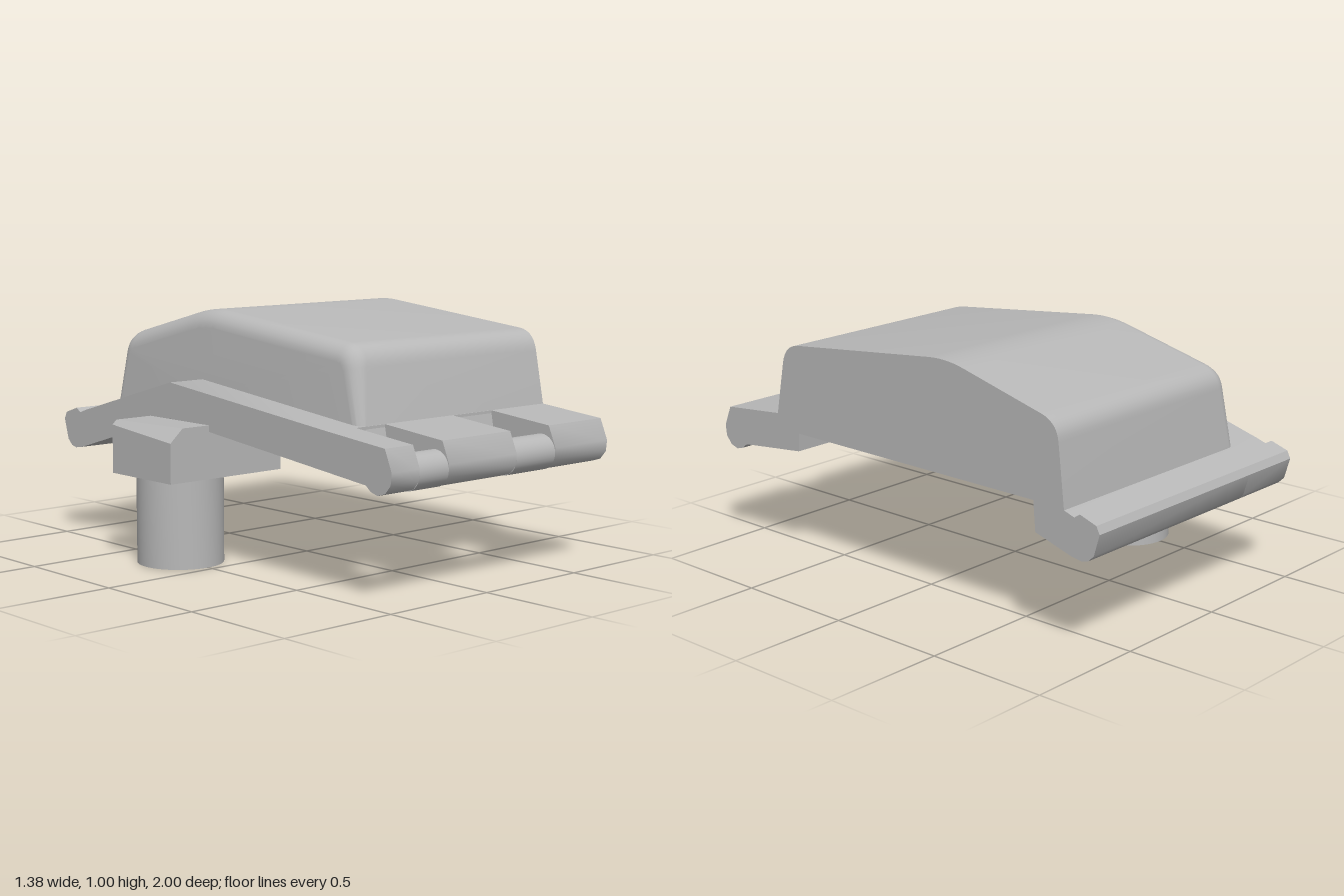
import * as THREE from 'three';
import { toCreasedNormals } from 'three/addons/utils/BufferGeometryUtils.js';

const grey = new THREE.MeshStandardMaterial({ color: 0xb8b8b8 });
grey.name = 'plain grey';

// Skin equal-length closed loops of [x, y, z] and cap both ends; capAxes picks the plane of the caps
function loft(loops, capAxes) {
  const n = loops[0].length, index = [];
  for (let k = 0; k < loops.length - 1; k++) {
    for (let i = 0; i < n; i++) {
      const a = k * n + i, b = k * n + (i + 1) % n;
      index.push(a, b, b + n, a, b + n, a + n);
    }
  }
  const cap = (k, outward) => {
    const flat = loops[k].map(p => new THREE.Vector2(p[capAxes[0]], p[capAxes[1]]));
    const turn = THREE.ShapeUtils.area(flat) > 0;
    const tris = THREE.ShapeUtils.triangulateShape(flat, []);
    for (const [a, b, c] of tris) {
      const cross = (flat[b].x - flat[a].x) * (flat[c].y - flat[a].y) - (flat[b].y - flat[a].y) * (flat[c].x - flat[a].x);
      const along = (cross > 0) === turn; // same sense as the loop
      index.push(...(along === outward ? [a, b, c] : [a, c, b]).map(i => i + k * n));
    }
  };
  cap(0, false);
  cap(loops.length - 1, true);

  // Turn the whole skin outwards if its volume comes out negative
  const pts = loops.flat().map(p => new THREE.Vector3(...p));
  let volume = 0;
  for (let i = 0; i < index.length; i += 3) {
    volume += pts[index[i]].dot(pts[index[i + 1]].clone().cross(pts[index[i + 2]]));
  }
  if (volume < 0) index.reverse();

  const geometry = new THREE.BufferGeometry().setFromPoints(pts);
  geometry.setIndex(index);
  return toCreasedNormals(geometry, 0.6);
}

// Prism of a [z, y] profile between two x positions
const prism = (profile, x0, x1) =>
  loft([x0, x1].map(x => profile.map(([z, y]) => [x, y, z])), [2, 1]);

// Domed cover: a side profile swept along x, rounded over at its closed end
function domeGeometry() {
  const path = new THREE.Path();
  path.moveTo(0.683, 0.54);
  path.lineTo(0.626, 0.83);
  path.quadraticCurveTo(0.611, 0.909, 0.535, 0.917);
  path.lineTo(-0.18, 0.993);
  path.quadraticCurveTo(-0.27, 1.003, -0.36, 0.979);
  path.lineTo(-0.73, 0.882);
  path.quadraticCurveTo(-0.805, 0.862, -0.811, 0.79);
  path.lineTo(-0.839, 0.54);
  const pts = path.getPoints(7);

  const inward = pts.map((p, i) => {
    const t = new THREE.Vector2();
    if (i > 0) t.add(p.clone().sub(pts[i - 1]).normalize());
    if (i < pts.length - 1) t.add(pts[i + 1].clone().sub(p).normalize());
    t.normalize();
    return new THREE.Vector2(-t.y, t.x);
  });
  const wallX = y => -0.32 - 0.065 * (0.93 - y);
  const loops = [[...pts.map(p => [0.685, p.y, p.x]), [0.685, 0.65, -0.26]]];
  const steps = 7;
  for (let s = 0; s <= steps; s++) {
    const a = s / steps * Math.PI / 2;
    const loop = pts.map((p, i) => {
      const r = 0.03 + 0.04 * THREE.MathUtils.clamp((p.y - 0.6) / 0.28, 0, 1);
      const q = p.clone().addScaledVector(inward[i], r * (1 - Math.cos(a)));
      return [wallX(q.y) + r * (1 - Math.sin(a)), q.y, q.x];
    });
    loop.push([wallX(0.65) + 0.03 * (1 - Math.sin(a)), 0.65, -0.26]);
    loops.push(loop);
  }
  return loft(loops, [2, 1]);
}

export function createModel() {
  const model = new THREE.Group();
  model.name = 'coverWithPost';
  const add = (name, geometry) => {
    const mesh = new THREE.Mesh(geometry, grey);
    mesh.name = name;
    model.add(mesh);
    return mesh;
  };

  add('domeCover', domeGeometry());

  // Bent base plate with the rear lip; the underside is recessed under the dome
  const top = [
    [0.67, 0.617], [-0.26, 0.715], [-0.84, 0.548], [-0.885, 0.533], [-0.91, 0.55],
    [-0.985, 0.525], [-1, 0.495], [-0.975, 0.41], [-0.95, 0.386], [-0.92, 0.378], [-0.875, 0.385],
  ];
  const solidUnder = [[-0.26, 0.569], [0.67, 0.467]];
  const recessUnder = [[-0.705, 0.436], [-0.695, 0.555], [0.545, 0.555], [0.55, 0.48], [0.67, 0.467]];
  add('plateEdge', prism([...top, ...solidUnder], -0.5, -0.22));
  add('plateRecessed', prism([...top, ...recessUnder], -0.22, 0.685));

  // Front tabs with a rounded lip, separated by two openings
  const tab = [
    [0.67, 0.617], [0.965, 0.588], [1, 0.505], [0.995, 0.46], [0.968, 0.427],
    [0.93, 0.415], [0.895, 0.425], [0.87, 0.445], [0.67, 0.467],
  ];
  for (const [x0, x1] of [[-0.5, -0.36], [-0.21, 0.155], [0.375, 0.685]]) {
    add('frontTab', prism(tab, x0, x1));
  }

  // Round bars crossing the openings
  for (const [x0, x1] of [[-0.36, -0.21], [0.155, 0.375]]) {
    const bar = add('hingeBar', new THREE.CylinderGeometry(0.069, 0.069, x1 - x0, 32));
    bar.rotation.z = Math.PI / 2;
    bar.position.set((x0 + x1) / 2, 0.484, 0.93);
  }

  // Mounting block with a skewed chamfer on its outer top edge
  const section = (z, c) => [
    [-0.69, 0.355, z], [-0.13, 0.355, z], [-0.13, 0.568, z], [-0.69 + c, 0.568, z], [-0.69, 0.568 - c * 0.9, z],
  ];
  add('mountingBlock', loft([section(-0.39, 0.02), section(-0.015, 0.06)], [0, 1]));

  // Round post with a blind bore from below
  const postProfile = [[0, 0.3], [0.08, 0.3], [0.08, 0], [0.174, 0], [0.174, 0.357]]
    .map(([r, y]) => new THREE.Vector2(r, y));
  const post = add('post', toCreasedNormals(new THREE.LatheGeometry(postProfile, 48), 0.6));
  post.position.set(-0.5, 0, -0.2);

  return model;
}
